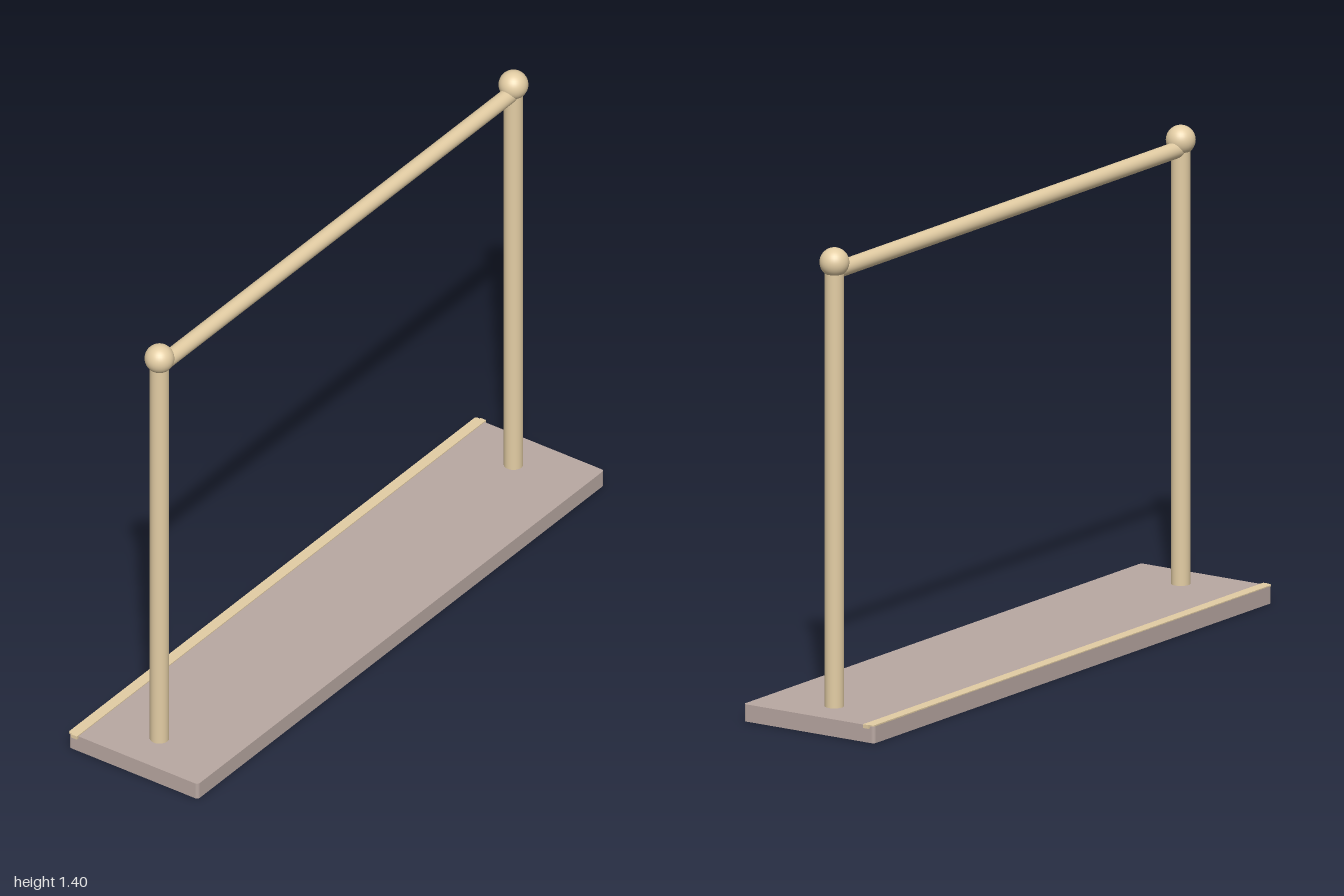
import * as THREE from 'three';

const wood = new THREE.MeshStandardMaterial({ color: 0xe3cda4 });
const slate = new THREE.MeshStandardMaterial({ color: 0xb9a8a2 });

function add(parent, name, geometry, material, x = 0, y = 0, z = 0) {
  const mesh = new THREE.Mesh(geometry, material);
  mesh.name = name;
  mesh.position.set(x, y, z);
  parent.add(mesh);
  return mesh;
}

// Flat slab outline with slightly rounded corners
function slabShape(hw, hd, r) {
  const s = new THREE.Shape();
  s.absarc(hw - r, hd - r, r, 0, Math.PI / 2);
  s.absarc(-hw + r, hd - r, r, Math.PI / 2, Math.PI);
  s.absarc(-hw + r, -hd + r, r, Math.PI, Math.PI * 1.5);
  s.absarc(hw - r, -hd + r, r, Math.PI * 1.5, Math.PI * 2);
  s.closePath();
  return s;
}

function extrudeUp(shape, height) {
  const g = new THREE.ExtrudeGeometry(shape, { depth: height, bevelEnabled: false, curveSegments: 16 });
  return g.rotateX(-Math.PI / 2);
}

export function createModel() {
  const model = new THREE.Group();
  model.name = 'displayStand';

  const postX = 0.865;
  const baseTop = 0.051;

  // Base slab, with a round recess under each post
  const outline = slabShape(0.993, 0.228, 0.01);
  for (const side of [-1, 1]) {
    outline.holes.push(new THREE.Path().absarc(side * postX, 0, 0.042, 0, Math.PI * 2, true));
  }
  const base = new THREE.Group();
  base.name = 'base';
  model.add(base);
  add(base, 'baseUnderside', extrudeUp(outline, 0.008), slate);
  add(base, 'baseSlab', extrudeUp(slabShape(0.993, 0.228, 0.01), baseTop - 0.008), slate, 0, 0.008);

  // Thin trim along the back edge of the base, with its end tabs
  add(model, 'backTrim', extrudeUp(slabShape(0.996, 0.016, 0.008), 0.004), wood, 0, 0.05, -0.212);
  add(model, 'trimStrip', new THREE.BoxGeometry(2, 0.011, 0.02), wood, 0, 0.0485, -0.204);

  // Posts with ball finials and fixing plugs
  for (const side of [-1, 1]) {
    const post = new THREE.Group();
    post.name = side > 0 ? 'leftPost' : 'rightPost';
    post.position.x = side * postX;
    model.add(post);
    add(post, 'postShaft', new THREE.CylinderGeometry(0.028, 0.028, 1.32, 32), wood, 0, 0.69);
    add(post, 'finial', new THREE.SphereGeometry(0.043, 32, 20), wood, 0, 1.362);
    add(post, 'fixingPlug', new THREE.CylinderGeometry(0.032, 0.032, 0.008, 32), wood, 0, 0.006);
  }

  // Top rail between the posts
  const rail = new THREE.CylinderGeometry(0.024, 0.024, postX * 2, 32).rotateZ(Math.PI / 2);
  add(model, 'topRail', rail, wood, 0, 1.336);

  return model;
}
